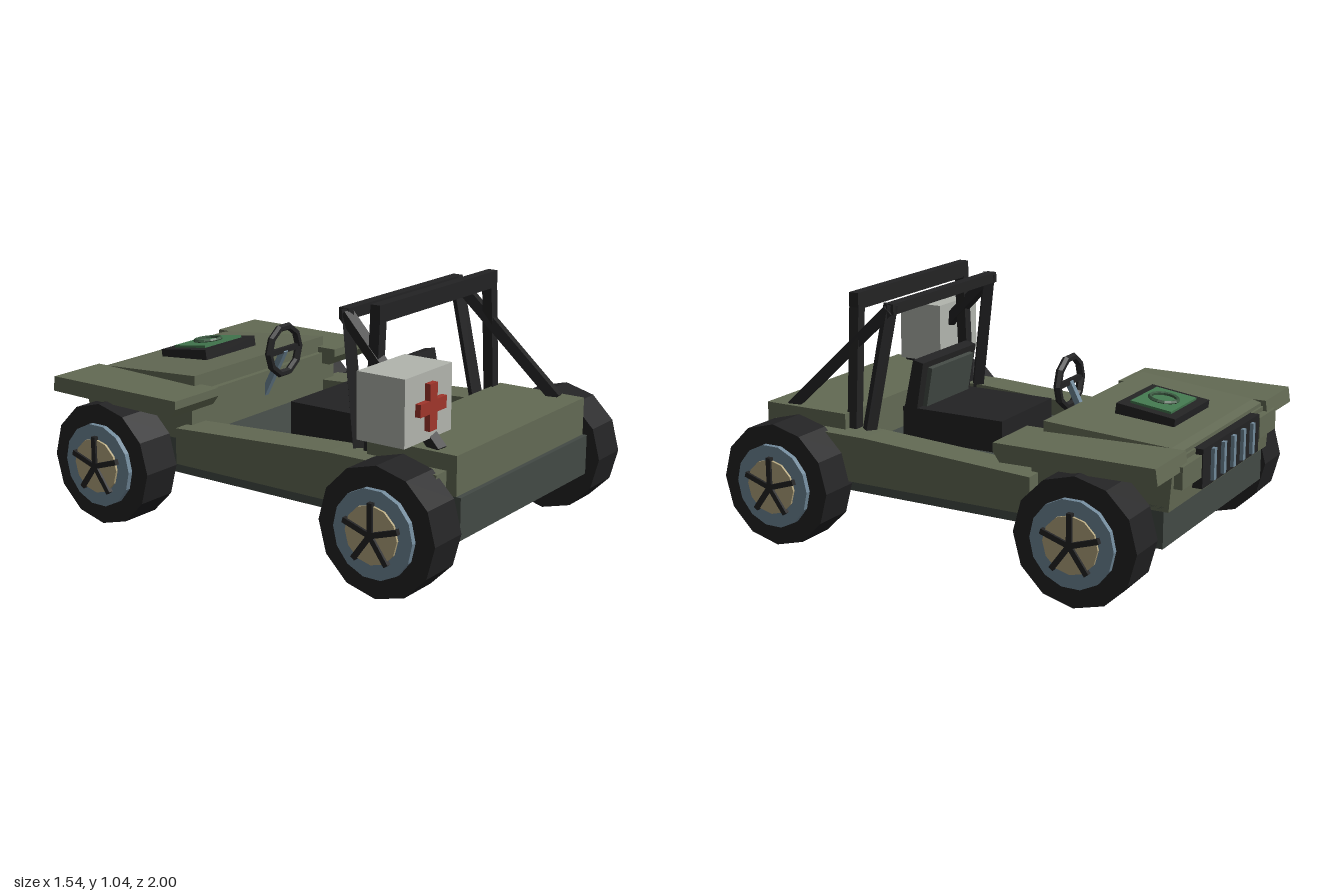
import * as THREE from 'three';

const mat = (name, color) => {
  const m = new THREE.MeshStandardMaterial({ color, flatShading: true });
  m.name = name;
  return m;
};

export function createModel() {
  const car = new THREE.Group();
  car.name = 'offRoadCar';
  const olive = mat('olive', 0x636a54), dark = mat('darkGreyGreen', 0x434a45);
  const black = mat('black', 0x232324), steel = mat('blueSteel', 0x71899a);
  const tan = mat('tan', 0xb5a77f), white = mat('paleGrey', 0xb2b5ae);
  const red = mat('red', 0xa0352b), green = mat('green', 0x43784f), deepGreen = mat('deepGreen', 0x3a5840);

  const add = (name, geo, material, parent = car) => {
    const m = new THREE.Mesh(geo, material);
    m.name = name;
    parent.add(m);
    return m;
  };
  // Box given by its extents
  const box = (name, [x0, x1], [y0, y1], [z0, z1], material, parent) => {
    const m = add(name, new THREE.BoxGeometry(x1 - x0, y1 - y0, z1 - z0), material, parent);
    m.position.set((x0 + x1) / 2, (y0 + y1) / 2, (z0 + z1) / 2);
    return m;
  };
  // Side profile of [z, y] points, extruded across x
  const slab = (name, profile, x0, x1, material) => {
    const shape = new THREE.Shape(profile.map(([z, y]) => new THREE.Vector2(z, y)));
    const geo = new THREE.ExtrudeGeometry(shape, { depth: x1 - x0, bevelEnabled: false });
    geo.rotateY(-Math.PI / 2).translate(x1, 0, 0);
    return add(name, geo, material);
  };
  // Square bar between two points
  const bar = (name, a, b, w, material, parent) => {
    const p = new THREE.Vector3(...a), q = new THREE.Vector3(...b);
    const m = add(name, new THREE.BoxGeometry(w, p.distanceTo(q), w), material, parent);
    m.position.copy(p).lerp(q, 0.5);
    m.quaternion.setFromUnitVectors(new THREE.Vector3(0, 1, 0), q.sub(p).normalize());
    return m;
  };

  // Chassis tub and body
  box('chassis', [-0.5, 0.5], [0.21, 0.38], [-0.92, 0.965], dark);
  box('rearDeck', [-0.5, 0.5], [0.37, 0.54], [0.54, 0.945], olive);
  slab('frontBody', [[-0.35, 0.36], [-0.35, 0.56], [-0.955, 0.56], [-0.94, 0.36]], -0.5, 0.5, olive);
  const hood = slab('hood', [[-0.375, 0.52], [-0.375, 0.628], [-0.905, 0.585], [-0.945, 0.575], [-0.945, 0.52]], -0.45, 0.45, olive);
  const pos = hood.geometry.attributes.position;
  for (let i = 0; i < pos.count; i++) { // narrow the hood toward the nose
    pos.setX(i, pos.getX(i) * (1 - 0.09 * (-0.375 - pos.getZ(i)) / 0.55));
  }
  hood.geometry.computeVertexNormals();

  for (const s of [-1, 1]) {
    const span = (a, b) => (s > 0 ? [a, b] : [-b, -a]);
    slab('sideRail', [[0.9, 0.275], [0.9, 0.475], [0.4, 0.472], [-0.38, 0.43], [-0.38, 0.275]], ...span(0.415, 0.57), olive);
    slab('fender', [[-0.28, 0.55], [-0.28, 0.585], [-0.965, 0.585], [-0.975, 0.52], [-0.31, 0.51]], ...span(0.41, 0.68), olive);
    box('frontPlate', span(0.3, 0.48), [0.45, 0.54], [-0.985, -0.95], olive);
  }

  // Grille with upright bars
  box('grille', [-0.29, 0.29], [0.4, 0.56], [-0.985, -0.94], black);
  for (let i = -2; i <= 2; i++) {
    box('grilleBar', [i * 0.1 - 0.012, i * 0.1 + 0.012], [0.415, 0.545], [-1, -0.98], steel);
  }

  // Hatch on the hood
  const hatch = new THREE.Group();
  hatch.name = 'hoodHatch';
  hatch.position.set(0, 0.622, -0.68);
  hatch.rotation.x = -0.13;
  car.add(hatch);
  box('hatchFrame', [-0.17, 0.17], [-0.025, 0.02], [-0.13, 0.13], black, hatch);
  box('hatchPanel', [-0.125, 0.125], [0.015, 0.03], [-0.09, 0.09], green, hatch);
  const ring = add('hatchRing', new THREE.TorusGeometry(0.058, 0.009, 5, 14), deepGreen, hatch);
  ring.rotation.x = Math.PI / 2;
  ring.position.y = 0.034;

  // Bench seat, its back leaning forward
  box('seatCushion', [-0.215, 0.215], [0.38, 0.52], [-0.05, 0.44], black);
  slab('seatBack', [[0.44, 0.48], [0.385, 0.73], [0.335, 0.72], [0.375, 0.48]], -0.215, 0.215, black);
  slab('seatPad', [[0.375, 0.52], [0.345, 0.695], [0.318, 0.69], [0.348, 0.52]], -0.17, 0.17, dark);

  // Steering wheel and column
  const wheelY = 0.67;
  const rim = add('steeringRim', new THREE.TorusGeometry(0.105, 0.017, 6, 10), black);
  rim.position.set(0, wheelY, -0.252);
  box('steeringSpoke', [-0.1, 0.1], [wheelY - 0.012, wheelY + 0.012], [-0.262, -0.244], black);
  bar('steeringColumn', [0, wheelY, -0.25], [0, 0.44, -0.37], 0.026, steel);

  // Roll cage: upright hoop, raked hoop and rear braces
  const cage = new THREE.Group();
  cage.name = 'rollCage';
  car.add(cage);
  box('uprightHoopTop', [-0.435, 0.435], [0.975, 1.045], [0.505, 0.55], black, cage);
  box('rakedHoopTop', [-0.415, 0.415], [0.965, 1.01], [0.345, 0.39], black, cage);
  for (const s of [-1, 1]) {
    bar('uprightHoopLeg', [s * 0.41, 1.01, 0.527], [s * 0.45, 0.46, 0.527], 0.046, black, cage);
    bar('rakedHoopLeg', [s * 0.395, 1.005, 0.37], [s * 0.44, 0.46, 0.46], 0.046, black, cage);
    bar('rearBrace', [s * 0.405, 0.985, 0.37], [s * 0.455, 0.53, 0.84], 0.046, black, cage);
  }

  // First aid case with a cross on its rear face
  box('aidCase', [-0.65, -0.33], [0.578, 0.843], [0.595, 0.81], white);
  box('crossUpright', [-0.516, -0.466], [0.617, 0.8], [0.808, 0.834], red);
  for (const x of [-0.58, -0.466]) {
    box('crossArm', [x, x + 0.064], [0.685, 0.735], [0.808, 0.834], red);
  }

  // Wheels, built with the hub facing +x and turned round for the other side
  const disc = (name, r, x0, x1, sides, material, parent) => {
    const geo = new THREE.CylinderGeometry(r, r, x1 - x0, sides);
    geo.rotateZ(Math.PI / 2).translate((x0 + x1) / 2, 0, 0);
    return add(name, geo, material, parent);
  };
  for (const s of [-1, 1]) for (const z of [0.74, -0.66]) {
    const wheel = new THREE.Group();
    wheel.name = 'wheel';
    wheel.position.set(s * 0.64, 0.262, z);
    wheel.rotation.y = s > 0 ? 0 : Math.PI;
    car.add(wheel);
    disc('tyre', 0.262, -0.09, 0.09, 12, black, wheel);
    disc('wheelRim', 0.178, 0.05, 0.112, 14, steel, wheel);
    disc('hubCap', 0.117, 0.1, 0.122, 12, tan, wheel);
    for (let i = 0; i < 5; i++) {
      const a = i * Math.PI * 2 / 5;
      const spoke = add('spoke', new THREE.BoxGeometry(0.025, 0.13, 0.022), black, wheel);
      spoke.position.set(0.12, Math.cos(a) * 0.063, Math.sin(a) * 0.063);
      spoke.rotation.x = a;
    }
  }
  return car;
}
